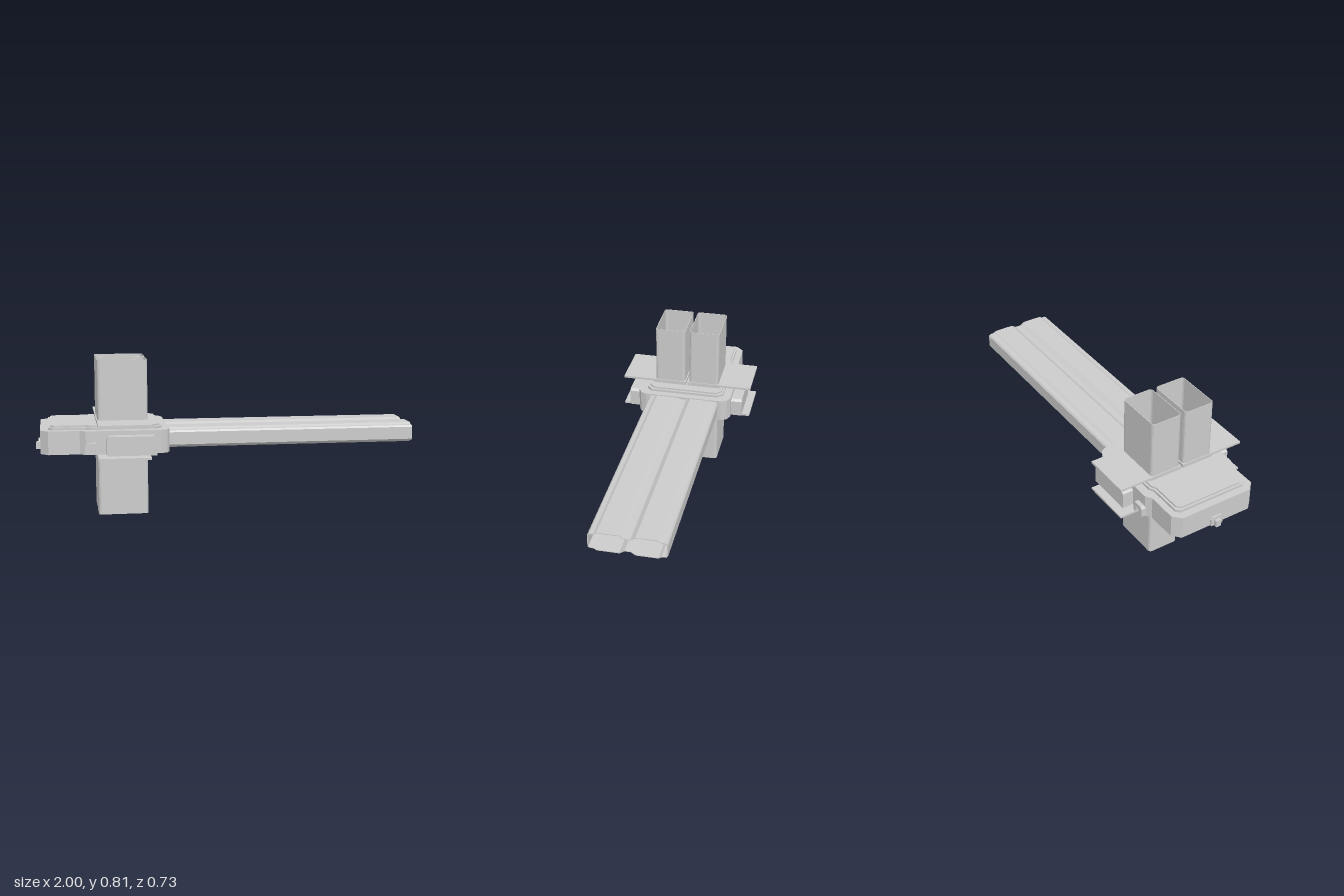
import * as THREE from 'three';

const mat = new THREE.MeshStandardMaterial({ color: 0xcccccc, side: THREE.DoubleSide, flatShading: true });

export function createModel() {
  const root = new THREE.Group();
  const add = (name, geo, x = 0, y = 0, z = 0) => {
    const m = new THREE.Mesh(geo, mat);
    m.name = name;
    m.position.set(x, y, z);
    root.add(m);
    return m;
  };
  const box = (name, x0, x1, y0, y1, z0, z1) =>
    add(name, new THREE.BoxGeometry(x1 - x0, y1 - y0, z1 - z0), (x0 + x1) / 2, (y0 + y1) / 2, (z0 + z1) / 2);
  const toPath = (pts, Type = THREE.Path) => new Type(pts.map(([a, b]) => new THREE.Vector2(a, b)));
  // half outline (z > 0) mirrored to a closed plan
  const mirrored = (half) => [...half, ...half.map(([x, z]) => [x, -z]).reverse()];
  // plan outline in x/z raised from y0 to y1
  const slab = (name, pts, y0, y1, holes = []) => {
    const s = toPath(pts, THREE.Shape);
    s.holes = holes.map((h) => toPath(h));
    const g = new THREE.ExtrudeGeometry(s, { depth: y1 - y0, bevelEnabled: false });
    g.rotateX(-Math.PI / 2);
    return add(name, g, 0, y0, 0);
  };
  // rectangle with rounded corners as a list of points
  const rounded = (x0, x1, z0, z1, r, n = 3) => {
    const pts = [];
    [[x1 - r, z1 - r], [x0 + r, z1 - r], [x0 + r, z0 + r], [x1 - r, z0 + r]].forEach(([cx, cz], q) => {
      for (let i = 0; i <= n; i++) {
        const a = (q + i / n) * Math.PI / 2;
        pts.push([cx + r * Math.cos(a), cz + r * Math.sin(a)]);
      }
    });
    return pts;
  };

  // vertical shaft sections
  const shaft = (s, inset = 0) => {
    const c = s * 0.096, h = 0.084 - inset;
    return rounded(-0.68 + inset, -0.42 - inset, c - h, c + h, 0.016);
  };
  const openings = [shaft(1, 0.003), shaft(-1, 0.003)];

  // hollow housing: wall open toward the duct, floor, roof and stepped lid
  const plan = [[-0.975, 0.2], [-0.935, 0.24], [-0.775, 0.24], [-0.745, 0.262],
    [-0.36, 0.262], [-0.325, 0.245], [-0.312, 0.215]];
  const inner = [[-0.315, 0.19], [-0.35, 0.225], [-0.375, 0.245], [-0.735, 0.245],
    [-0.765, 0.222], [-0.925, 0.222], [-0.955, 0.19]];
  const half = [...plan, [-0.312, 0.19], ...inner];
  slab('housingWall', [...half, ...half.map(([x, z]) => [x, -z]).reverse()], 0.343, 0.447);
  slab('housingFloor', mirrored(plan), 0.333, 0.343, openings);
  slab('housingRoof', mirrored(plan), 0.447, 0.455, openings);
  const lid = (d) => mirrored([[-0.935 + d, 0.185 - d], [-0.915 + d, 0.205 - d], [-0.74, 0.205 - d],
    [-0.715, 0.218 - d], [-0.38 - d, 0.218 - d], [-0.35 - d, 0.19 - d]]);
  slab('lidStep', lid(0), 0.455, 0.468, openings);
  slab('lid', lid(0.012), 0.468, 0.477, openings);

  // paired shafts, collars and outward flange plates
  for (const s of [1, -1]) {
    slab('upperShaft', shaft(s), 0.455, 0.81, [shaft(s, 0.003)]);
    slab('lowerShaft', shaft(s), 0, 0.343, [shaft(s, 0.003)]);
    const rim = (zOut) => {
      const a = s * 0.006, b = s * zOut;
      return [[-0.685, a], [-0.415, a], [-0.415, b], [-0.685, b]];
    };
    slab('upperFlange', rim(0.363), 0.485, 0.497, [shaft(s, 0.003)]);
    slab('lowerFlange', rim(0.363), 0.317, 0.328, [shaft(s, 0.003)]);
    slab('upperCollar', rim(0.186), 0.477, 0.485, [shaft(s, 0.003)]);
    slab('lowerCollar', rim(0.186), 0.328, 0.333, [shaft(s, 0.003)]);

    // side block with chamfered upper edges
    const block = toPath([[-0.64, 0.333], [-0.385, 0.333], [-0.385, 0.42], [-0.397, 0.432],
      [-0.628, 0.432], [-0.64, 0.42]], THREE.Shape);
    const g = new THREE.ExtrudeGeometry(block, { depth: 0.065, bevelEnabled: false });
    add('sideBlock', g, 0, 0, s > 0 ? 0.257 : -0.322);
  }
  box('centreRib', -0.5, -0.42, 0.322, 0.333, -0.012, 0.012);

  // arched catches on the sides and the back
  const arch = (w, h, depth) => new THREE.ExtrudeGeometry(toPath([[-w, 0], [-w, h - 0.012],
    [-w + 0.01, h], [w - 0.01, h], [w, h - 0.012], [w, 0], [w - 0.016, 0],
    [w - 0.02, h - 0.024], [-w + 0.02, h - 0.024], [-w + 0.016, 0]], THREE.Shape),
  { depth, bevelEnabled: false });
  add('sideCatch', arch(0.035, 0.058, 0.035), -0.715, 0.338, 0.25);
  add('sideCatch', arch(0.035, 0.058, 0.035), -0.715, 0.338, -0.285);
  add('backCatch', arch(0.035, 0.05, 0.03), -0.985, 0.333, 0).rotation.y = Math.PI / 2;
  box('backCatchTip', -1, -0.97, 0.328, 0.365, -0.015, 0.015);

  // long horizontal duct with a shallow groove along its top and bottom
  const duct = (d) => {
    const top = [[-0.196 + d, 0.43], [-0.188 + d, 0.439 - d], [-0.165, 0.441 - d], [-0.15, 0.45 - d],
      [-0.04, 0.45 - d], [-0.015, 0.434 - d]];
    const upper = [...top, ...top.map(([z, y]) => [-z, y]).reverse()];
    return [...upper, ...upper.map(([z, y]) => [z, 0.795 - y]).reverse()];
  };
  const section = toPath(duct(0), THREE.Shape);
  section.holes = [toPath(duct(0.004))];
  const ductGeo = new THREE.ExtrudeGeometry(section, { depth: 1.325, bevelEnabled: false });
  ductGeo.rotateY(Math.PI / 2);
  add('duct', ductGeo, -0.325, 0, 0);

  return root;
}
